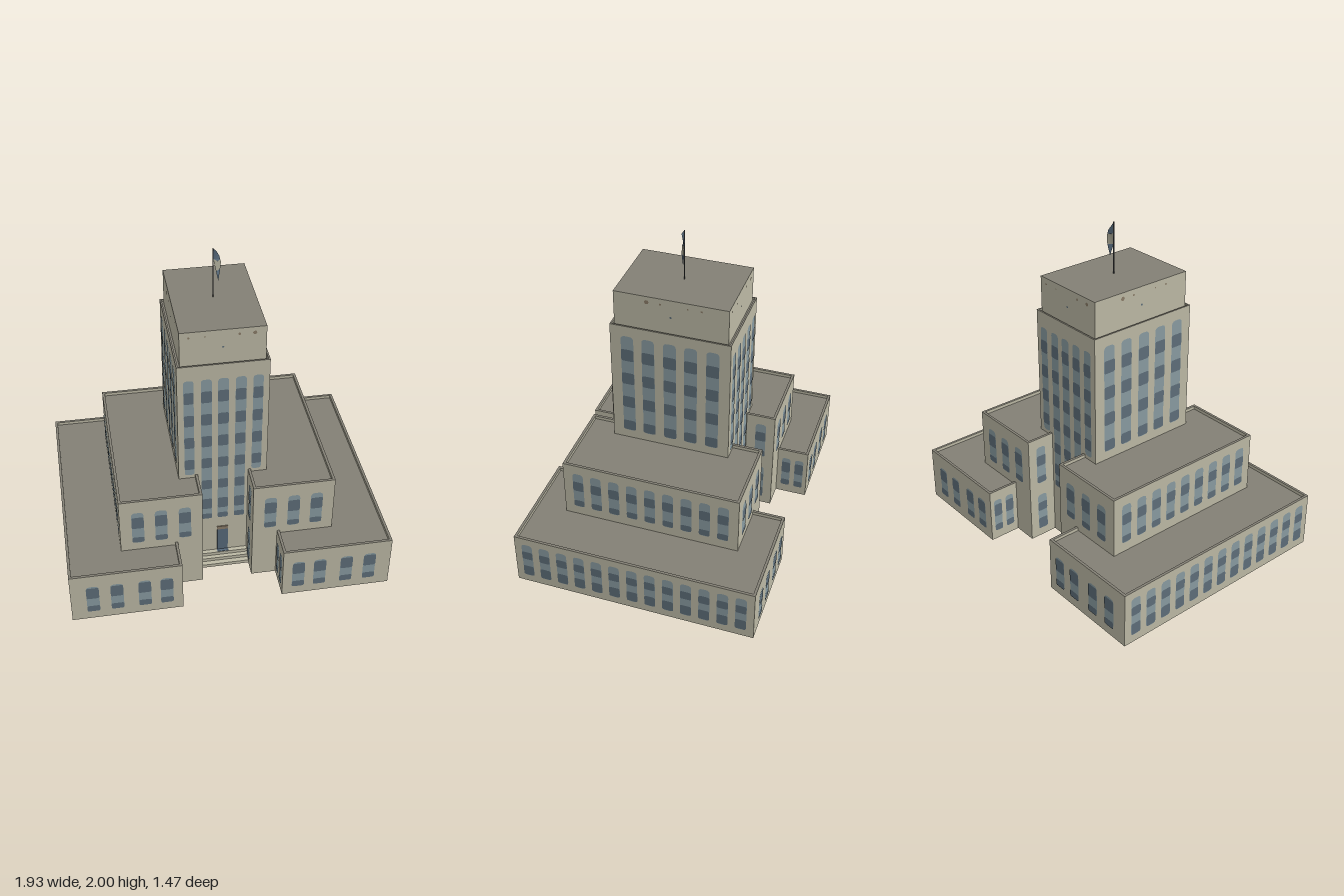
import * as THREE from 'three';

const mat = (name, color) => {
  const m = new THREE.MeshStandardMaterial({ color });
  m.name = name;
  return m;
};

export function createModel() {
  const root = new THREE.Group();
  root.name = 'steppedTowerBuilding';
  const stone = mat('stone', 0xbcb9a5);
  const roof = mat('roof', 0x838075);
  const glass = mat('paleGlass', 0x899ba1);
  const pane = mat('darkPane', 0x5e6e79);
  const door = mat('doorBlue', 0x566879);
  const lintel = mat('lintelBrown', 0x8a7c68);
  const metal = mat('poleGrey', 0x505254);
  const flagBlue = mat('flagBlue', 0x5c7082);
  const flagCream = mat('flagCream', 0xa9a795);
  flagBlue.side = flagCream.side = THREE.DoubleSide;

  const add = (parent, name, geo, material, x = 0, y = 0, z = 0) => {
    const m = new THREE.Mesh(geo, material);
    m.name = name;
    m.position.set(x, y, z);
    parent.add(m);
    return m;
  };

  // Rectangular volume with a sunken roof inside a thin parapet
  const block = (name, cx, w, d, h, rim, sink) => {
    const g = new THREE.Group();
    g.name = name;
    g.position.x = cx;
    add(g, name + 'Walls', new THREE.BoxGeometry(w, h - sink, d),
      [stone, stone, roof, stone, stone, stone], 0, (h - sink) / 2, 0);
    const rect = (path, a, b) => path.moveTo(-a, -b).lineTo(a, -b).lineTo(a, b).lineTo(-a, b).closePath();
    const s = new THREE.Shape();
    rect(s, w / 2, d / 2);
    const hole = new THREE.Path();
    rect(hole, w / 2 - rim, d / 2 - rim);
    s.holes.push(hole);
    const geo = new THREE.ExtrudeGeometry(s, { depth: sink, bevelEnabled: false });
    geo.rotateX(-Math.PI / 2);
    add(g, name + 'Parapet', geo, [roof, stone], 0, h - sink, 0);
    root.add(g);
  };

  for (const s of [1, -1]) {
    const side = s > 0 ? 'left' : 'right';
    block(side + 'LowWing', s * 0.63, 0.66, 1.466, 0.345, 0.016, 0.02);
    block(side + 'MiddleWing', s * 0.394, 0.488, 1.075, 0.7, 0.016, 0.02);
  }
  block('tower', 0, 0.526, 0.716, 1.48, 0.01, 0.012);
  add(root, 'towerCrown', new THREE.BoxGeometry(0.484, 0.22, 0.674),
    [stone, stone, roof, stone, stone, stone], 0, 1.58, 0);

  // Flat rounded plate
  const plate = (w, h, r) => {
    const x = w / 2, y = h / 2, s = new THREE.Shape();
    s.moveTo(-x + r, -y).lineTo(x - r, -y).quadraticCurveTo(x, -y, x, -y + r);
    s.lineTo(x, y - r).quadraticCurveTo(x, y, x - r, y);
    s.lineTo(-x + r, y).quadraticCurveTo(-x, y, -x, y - r);
    s.lineTo(-x, -y + r).quadraticCurveTo(-x, -y, -x + r, -y);
    return new THREE.ShapeGeometry(s, 4);
  };

  // One row of windows on a wall; angle turns the wall from facing +z
  const windows = (name, angle, plane, centres, w, y0, y1, darks) => {
    const g = new THREE.Group();
    g.name = name;
    g.rotation.y = angle;
    for (const c of centres) {
      add(g, 'windowGlass', plate(w, y1 - y0, w * 0.35), glass, c, (y0 + y1) / 2, plane + 0.002);
      for (const [a, b] of darks) {
        add(g, 'windowPane', plate(w, b - a, 0.012), pane, c, (a + b) / 2, plane + 0.004);
      }
    }
    root.add(g);
  };
  const row = (n, end) => Array.from({ length: n }, (_, i) => -end + (2 * end * i) / (n - 1));
  const both = (a) => [...a, ...a.map((v) => -v)];

  const lowDarks = [[0.06, 0.105], [0.165, 0.25]];
  const midDarks = [[0.385, 0.425], [0.495, 0.58]];
  const sideLowDarks = [[0.055, 0.13], [0.185, 0.245]];
  const sideMidDarks = [[0.39, 0.435], [0.51, 0.58]];
  const towerDarks = [[0.745, 0.82], [0.905, 0.985], [1.065, 1.145], [1.225, 1.305]];
  const longDarks = [[0.34, 0.38], [0.42, 0.5], [0.58, 0.65], ...towerDarks];

  // Front and back walls
  for (const [side, a] of [['front', 0], ['back', Math.PI]]) {
    windows(side + 'LowWindows', a, 0.733, both([0.395, 0.525, 0.688, 0.83]), 0.075, 0.06, 0.26, lowDarks);
    windows(side + 'MiddleWindows', a, 0.5375, both([0.255, 0.395, 0.532]), 0.072, 0.38, 0.615, midDarks);
    windows(side + 'TowerOuterWindows', a, 0.358, both([0.198]), 0.058, 0.703, 1.385, towerDarks);
    windows(side + 'TowerCentreWindows', a, 0.358, [-0.097, 0, 0.1], 0.062, 0.34, 1.385, longDarks);
  }

  // Side walls and the short return walls of the forecourts
  for (const [side, a] of [['left', Math.PI / 2], ['right', -Math.PI / 2]]) {
    windows(side + 'LowWindows', a, 0.96, row(13, 0.655), 0.066, 0.05, 0.3, sideLowDarks);
    windows(side + 'MiddleWindows', a, 0.638, row(9, 0.446), 0.066, 0.385, 0.64, sideMidDarks);
    windows(side + 'TowerWindows', a, 0.263, [-0.255, -0.13, 0, 0.125, 0.255], 0.076, 0.735, 1.415,
      [[0.74, 0.81], [0.91, 0.99], [1.08, 1.16], [1.245, 1.325]]);
    windows(side + 'LowReturnWindows', a, -0.3, both([0.595, 0.68]), 0.055, 0.06, 0.28, lowDarks);
    windows(side + 'UpperReturnWindows', a, -0.15, both([0.45]), 0.066, 0.385, 0.64, sideMidDarks);
    windows(side + 'LowerReturnWindows', a, -0.15, both([0.45]), 0.066, 0.06, 0.3, sideLowDarks);
  }

  // Entrance with door, lintel, mat and steps
  add(root, 'door', new THREE.BoxGeometry(0.066, 0.172, 0.006), door, 0, 0.152, 0.359);
  add(root, 'doorLintel', new THREE.BoxGeometry(0.068, 0.024, 0.008), lintel, 0, 0.25, 0.36);
  add(root, 'doorMat', new THREE.BoxGeometry(0.07, 0.003, 0.024), door, 0, 0.0675, 0.37);
  [[0.44, 0.022], [0.41, 0.044], [0.385, 0.066]].forEach(([z, h], i) => {
    add(root, 'entranceStep' + (i + 1), new THREE.BoxGeometry(0.3, h, z - 0.34), stone, 0, h / 2, (z + 0.34) / 2);
  });

  // Small ornaments on the crown
  const frontDots = [[-0.19, 0.007], [-0.1, 0.005], [0.09, 0.008], [0.175, 0.012]];
  const sideDots = [[-0.14, 0.014], [-0.06, 0.007], [0.1, 0.005], [0.18, 0.007]];
  for (const [a, p, dots] of [[0, 0.337, frontDots], [Math.PI / 2, 0.242, sideDots],
    [Math.PI, 0.337, frontDots], [-Math.PI / 2, 0.242, sideDots]]) {
    const g = new THREE.Group();
    g.name = 'crownOrnaments';
    g.rotation.y = a;
    for (const [x, r] of dots) add(g, 'rosette', new THREE.CircleGeometry(r, 6), lintel, x, 1.655, p + 0.002);
    add(g, 'crownStud', new THREE.CircleGeometry(0.007, 6), pane, 0, 1.58, p + 0.002);
    root.add(g);
  }

  // Flagpole with a drooping two-colour flag
  add(root, 'flagpole', new THREE.CylinderGeometry(0.003, 0.004, 0.31, 8), metal, 0, 1.845, 0);
  const cloth = (name, pts, material) => {
    const geo = new THREE.ShapeGeometry(new THREE.Shape(pts.map(([x, y]) => new THREE.Vector2(x, y))));
    const p = geo.attributes.position;
    for (let i = 0; i < p.count; i++) p.setZ(i, 0.012 * Math.sin(p.getX(i) * 110));
    geo.computeVertexNormals();
    add(root, name, geo, material);
  };
  cloth('flagUpper', [[0, 2], [0.018, 1.985], [0.036, 1.945], [0.042, 1.92], [0.025, 1.92], [0, 1.935]], flagBlue);
  cloth('flagMiddle', [[0, 1.935], [0.025, 1.92], [0.042, 1.92], [0.046, 1.905], [0.042, 1.86], [0.015, 1.86]], flagCream);
  cloth('flagLower', [[0.015, 1.86], [0.042, 1.86], [0.03, 1.79]], flagBlue);

  return root;
}
